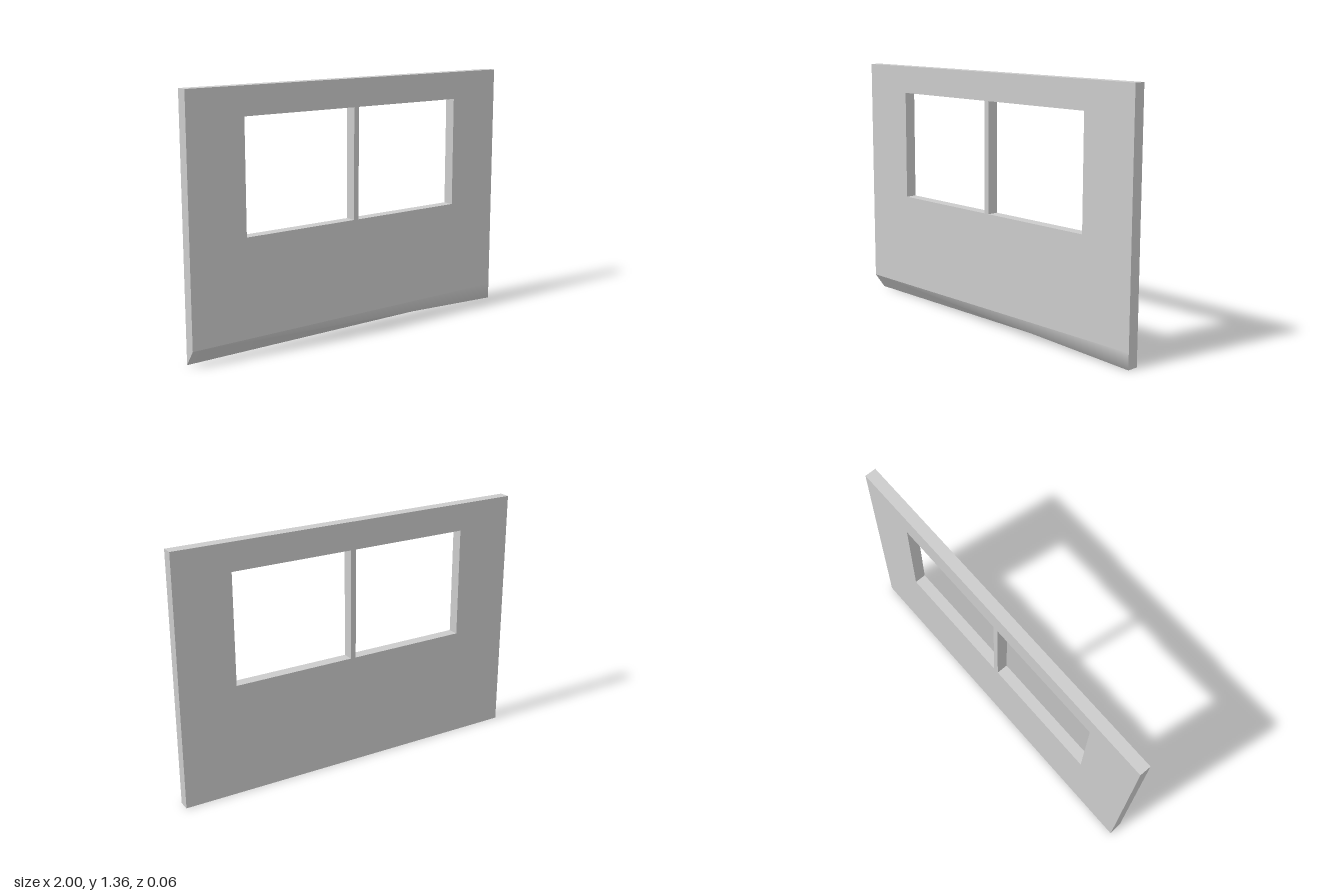
import * as THREE from 'three';

const TOP = 1.36, SKIRT = 0.085, HALF = 0.031;
const OPENING = { x0: -0.68, x1: 0.69, y0: 0.61, y1: 1.21 };

const rectangle = (x0, y0, x1, y1) => [[x0, y0], [x1, y0], [x1, y1], [x0, y1]]
  .map(([x, y]) => new THREE.Vector2(x, y));

function trianglesFrom(points, index) {
  const geometry = new THREE.BufferGeometry();
  geometry.setAttribute('position', new THREE.Float32BufferAttribute(points.flat(), 3));
  if (index) geometry.setIndex(index);
  geometry.computeVertexNormals();
  return geometry;
}

// Wall slab with a window opening; its back reaches the floor and its underside is left open.
function wallGeometry() {
  const shape = new THREE.Shape(rectangle(-1, SKIRT, 1, TOP));
  const { x0, x1, y0, y1 } = OPENING;
  shape.holes.push(new THREE.Path(rectangle(x0, y0, x1, y1).reverse()));
  const slab = new THREE.ExtrudeGeometry(shape, { depth: 2 * HALF, bevelEnabled: false });
  slab.translate(0, 0, -HALF);

  const p = slab.attributes.position;
  const kept = [];
  for (let i = 0; i < p.count; i += 3) {
    const corners = [0, 1, 2].map((k) => {
      const [x, y, z] = [p.getX(i + k), p.getY(i + k), p.getZ(i + k)];
      return [x, y < 0.1 && z < 0 ? 0 : y, z];
    });
    if (corners.some((c) => c[1] > 0.1)) kept.push(...corners);
  }
  return trianglesFrom(kept);
}

export function createModel() {
  const group = new THREE.Group();
  group.name = 'windowWall';
  const material = new THREE.MeshStandardMaterial({ color: 0xcccccc });
  const add = (name, geometry) => {
    const mesh = new THREE.Mesh(geometry, material);
    mesh.name = name;
    group.add(mesh);
    return mesh;
  };

  add('wall', wallGeometry());

  // Twisted lower edge: cut away at the front right corner, full at the left end.
  const a = [-1, SKIRT, HALF], b = [1, SKIRT, HALF], c = [1, 0, HALF];
  const d = [1, 0, -HALF], e = [-1, 0, -HALF];
  add('lowerEdge', trianglesFrom([a, b, c, d, e], [0, 2, 1, 3, 2, 0, 3, 0, 4]));
  add('lowerEdgeEnd', trianglesFrom([c, d, b]));

  // Upright bar dividing the window
  const height = OPENING.y1 - OPENING.y0;
  add('windowMullion', new THREE.BoxGeometry(0.03, height, 2 * HALF))
    .position.set(0.003, OPENING.y0 + height / 2, 0);

  return group;
}
